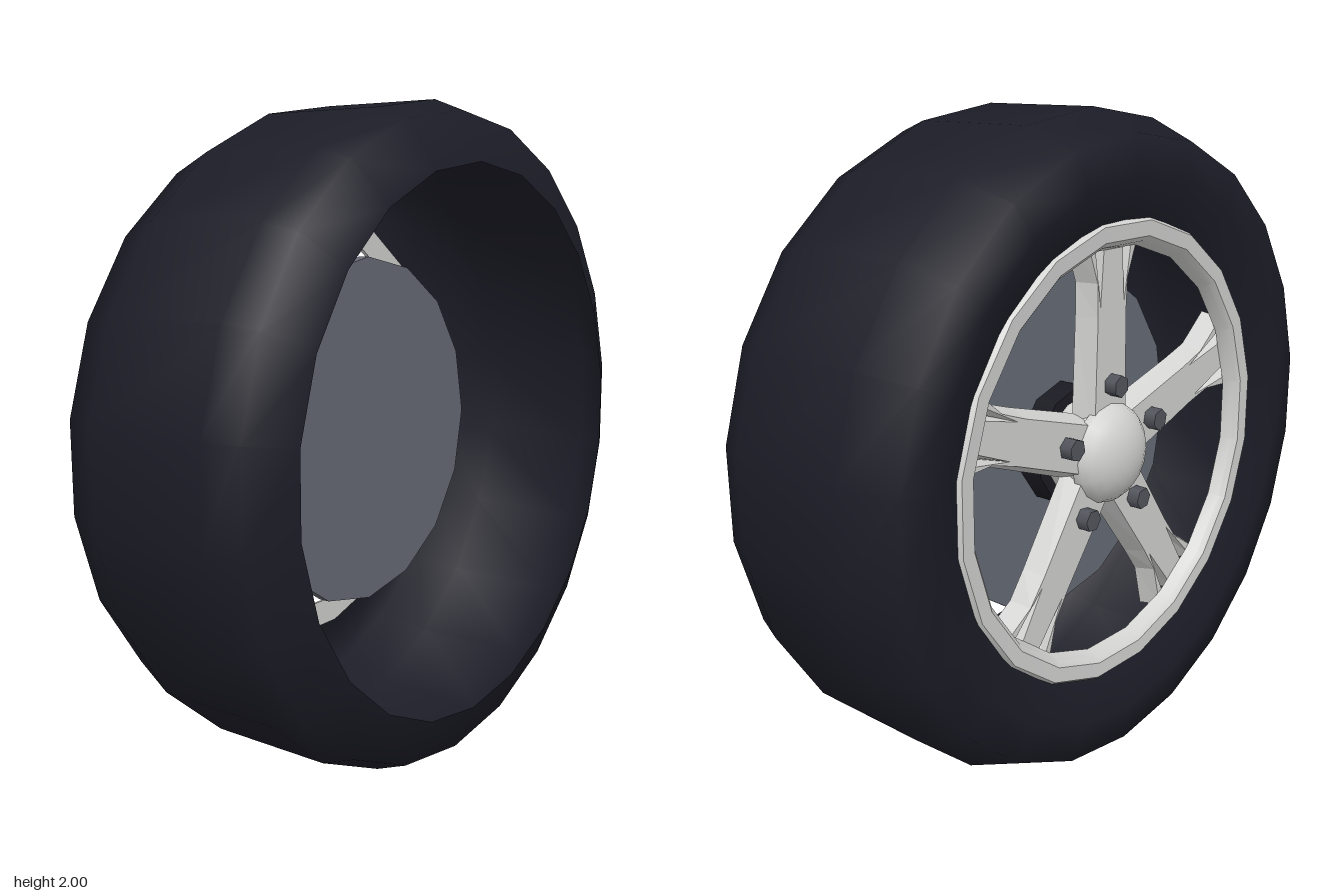
import * as THREE from 'three';
import { toCreasedNormals } from 'three/addons/utils/BufferGeometryUtils.js';

const material = (name, color) => {
  const m = new THREE.MeshStandardMaterial({ color });
  m.name = name;
  return m;
};

export function createModel() {
  const rubber = material('dark rubber', 0x1c1c27);
  rubber.side = THREE.DoubleSide;
  const alloy = material('light alloy', 0xd2d2d1);
  const steel = material('grey steel', 0x676b76);
  const bolt = material('dark bolt', 0x54565e);
  const black = material('black hub', 0x1a1a22);

  // The wheel is built around the z axis at the origin, then lifted onto the ground
  const wheel = new THREE.Group();
  wheel.name = 'wheel';

  const add = (parent, name, geometry, mat) => {
    const mesh = new THREE.Mesh(geometry, mat);
    mesh.name = name;
    parent.add(mesh);
    return mesh;
  };

  // Profile of [radius, z] pairs turned around the z axis
  const turned = (profile, sides, crease) => {
    const points = profile.map(([r, z]) => new THREE.Vector2(r, z));
    const g = new THREE.LatheGeometry(points, sides).rotateX(Math.PI / 2);
    return toCreasedNormals(g, crease);
  };

  // Cylinder along z between two depths
  const drum = (radius, z0, z1, sides) =>
    new THREE.CylinderGeometry(radius, radius, z1 - z0, sides)
      .rotateX(Math.PI / 2).translate(0, 0, (z0 + z1) / 2);

  // Tyre: a hollow shell of outer sidewall and tread, open on the inner side
  add(wheel, 'tyre', turned([
    [0.69, -0.305], [0.82, -0.36], [0.935, -0.345], [1, -0.19],
    [1, 0.2], [0.965, 0.295], [0.82, 0.36],
  ], 22, 1.2), rubber);

  // Rim ring
  const rim = add(wheel, 'rim', turned([
    [0.62, -0.27], [0.635, -0.305], [0.65, -0.32], [0.695, -0.322],
    [0.71, -0.3], [0.705, -0.27], [0.62, -0.27],
  ], 20, 0.4), alloy);
  rim.rotation.z = Math.PI / 20;

  // Brake disc and the axle hub behind the spokes
  add(wheel, 'brakeDisc', drum(0.545, -0.075, -0.04, 16), steel);
  add(wheel, 'axleHub', drum(0.19, -0.15, -0.07, 10), black);

  // Spoke: sloping walls between a slotted face and a wider base; the slots close to V grooves
  const mirrored = (half) => [...half, ...half.map(([x, y]) => [-x, y]).reverse()]
    .map(([x, y]) => new THREE.Vector2(x, y));
  const spokeGeometry = (faceHalf, baseHalf, capHalf, zFace, zBase) => {
    const face = mirrored(faceHalf);
    const base = mirrored(baseHalf);
    const cap = mirrored(capHalf);
    const positions = [];
    const put = (p, z) => positions.push(p.x, p.y, z);
    for (const [a, b, c] of THREE.ShapeUtils.triangulateShape(face, []))
      [c, b, a].forEach((k) => put(face[k], zFace));
    for (const tri of THREE.ShapeUtils.triangulateShape(cap, []))
      tri.forEach((k) => put(cap[k], zBase));
    for (let i = 0; i < face.length; i++) {
      const j = (i + 1) % face.length;
      put(face[i], zFace); put(face[j], zFace); put(base[j], zBase);
      put(face[i], zFace); put(base[j], zBase); put(base[i], zBase);
    }
    const g = new THREE.BufferGeometry();
    g.setAttribute('position', new THREE.Float32BufferAttribute(positions, 3));
    g.computeVertexNormals();
    return g;
  };
  const stem = [[0.1, 0.03], [0.086, 0.42], [0.086, 0.52], [0.138, 0.65]];
  const spoke = spokeGeometry(
    [[0.075, 0.03], [0.066, 0.42], [0.07, 0.52], [0.122, 0.655], [0.09, 0.66],
      [0.055, 0.45], [0.04, 0.665]],
    [...stem, [0.06, 0.665], [0.066, 0.5], [0.06, 0.665]],
    [...stem, [0.06, 0.665]], -0.268, -0.2);
  const nut = drum(0.034, -0.308, -0.258, 6);
  for (let i = 0; i < 5; i++) {
    const arm = new THREE.Group();
    arm.name = 'spokeArm' + (i + 1);
    arm.rotation.z = (i * Math.PI * 2) / 5;
    add(arm, 'spoke', spoke, alloy);
    add(arm, 'wheelNut', nut, bolt).position.y = 0.212;
    wheel.add(arm);
  }

  // Hub centre and its domed cap
  add(wheel, 'hubPlate', drum(0.15, -0.262, -0.15, 16), alloy);
  const dome = new THREE.SphereGeometry(0.157, 16, 6, 0, Math.PI * 2, 0, Math.PI / 2)
    .rotateX(-Math.PI / 2).scale(1, 1, 0.65);
  add(wheel, 'hubCap', dome, alloy).position.z = -0.25;

  wheel.position.y = 1;
  const model = new THREE.Group();
  model.name = 'carWheel';
  model.add(wheel);
  return model;
}
